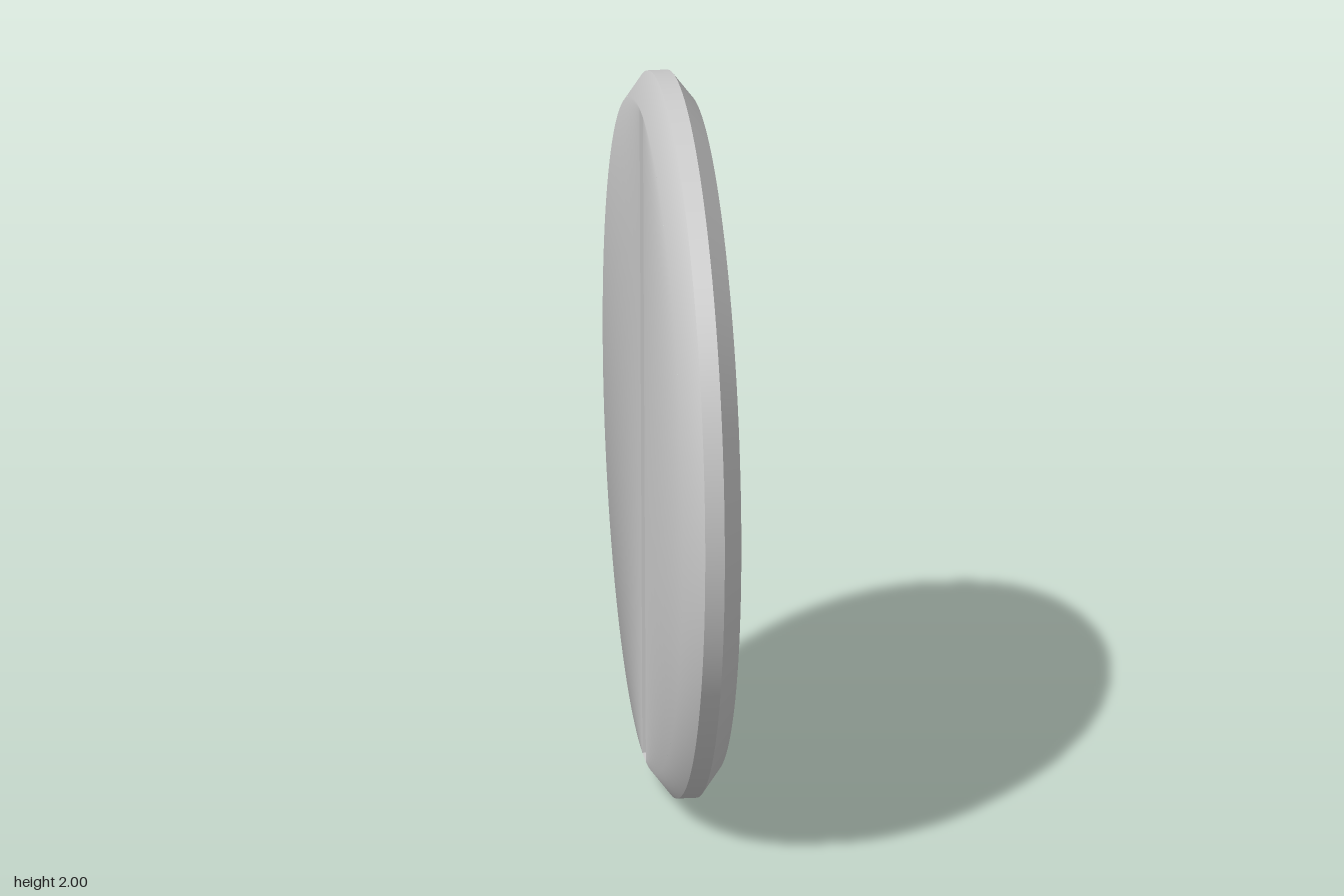
import * as THREE from 'three';

const R = 1, FACE_R = 0.93, BAND = 0.027, HALF = 0.081, SLOT = 0.04, SEG = 128;
const material = new THREE.MeshStandardMaterial({ color: 0xcccccc });

function add(parent, name, geometry) {
  const mesh = new THREE.Mesh(geometry, material);
  mesh.name = name;
  parent.add(mesh);
  return mesh;
}

// Ring turned about the x axis; points are [radius, x]
function ring(points) {
  const profile = points.map(([r, x]) => new THREE.Vector2(r, x));
  return new THREE.LatheGeometry(profile, SEG).rotateZ(-Math.PI / 2);
}

// Normal at the edge of the face, shared by face and bevel when the edge is soft
const bevelNormal = new THREE.Vector2(R - FACE_R, HALF - BAND).normalize();
function edgeNormal(y, z) {
  const k = bevelNormal.y / Math.hypot(y, z);
  return new THREE.Vector3(1 + bevelNormal.x, y * k, z * k).normalize();
}

// Half of the flat face, from the slot edge out to the bevel
function halfFace(h, soft) {
  const pos = [], nor = [], idx = [], n = SEG / 2;
  const limit = Math.acos(SLOT / FACE_R);
  for (let i = 0; i <= n; i++) {
    const t = -limit + (2 * limit * i) / n;
    const y = FACE_R * Math.sin(t), z = h * FACE_R * Math.cos(t);
    const outer = soft ? edgeNormal(y, z) : new THREE.Vector3(1, 0, 0);
    pos.push(HALF, y, h * SLOT, HALF, y, z);
    nor.push(1, 0, 0, ...outer.toArray());
    if (i < n) {
      const a = 2 * i, b = a + 1, c = a + 2, d = a + 3;
      if (h > 0) idx.push(a, c, b, b, c, d);
      else idx.push(a, b, c, b, d, c);
    }
  }
  const g = new THREE.BufferGeometry();
  g.setAttribute('position', new THREE.Float32BufferAttribute(pos, 3));
  g.setAttribute('normal', new THREE.Float32BufferAttribute(nor, 3));
  g.setIndex(idx);
  return g;
}

// Inward-facing box without its mouth on +x
function slotGeometry() {
  const length = 2 * Math.sqrt(FACE_R ** 2 - SLOT ** 2);
  const g = new THREE.BoxGeometry(HALF - BAND, length, 2 * SLOT);
  g.setIndex(Array.from(g.index.array).slice(6));
  g.scale(1, 1, -1);
  g.translate((HALF + BAND) / 2, 0, 0);
  g.computeVertexNormals();
  return g;
}

// One side of the disc, facing +x
function createSide(name, soft) {
  const side = new THREE.Group();
  side.name = name;
  const bevel = ring([[R, BAND], [FACE_R, HALF]]);
  if (soft) {
    const p = bevel.attributes.position, nrm = bevel.attributes.normal;
    for (let i = 0; i < p.count; i++) {
      if (p.getX(i) < HALF - 0.001) continue;
      const v = edgeNormal(p.getY(i), p.getZ(i));
      nrm.setXYZ(i, v.x, v.y, v.z);
    }
  }
  add(side, 'bevel', bevel);
  add(side, 'frontHalfFace', halfFace(1, soft));
  add(side, 'backHalfFace', halfFace(-1, soft));
  add(side, 'slot', slotGeometry());
  return side;
}

export function createModel() {
  const model = new THREE.Group();
  model.name = 'slottedDisc';

  // Narrow outer band
  add(model, 'rimBand', ring([[R, -BAND], [R, BAND]]));

  // Crisp-edged side, and soft-edged side turned to face -x
  model.add(createSide('leftSide', false));
  const right = createSide('rightSide', true);
  right.rotation.y = Math.PI;
  model.add(right);

  // The disc leans very slightly
  model.rotation.set(0, 0.0035, 0.0043);
  model.position.y = 1;
  return model;
}
